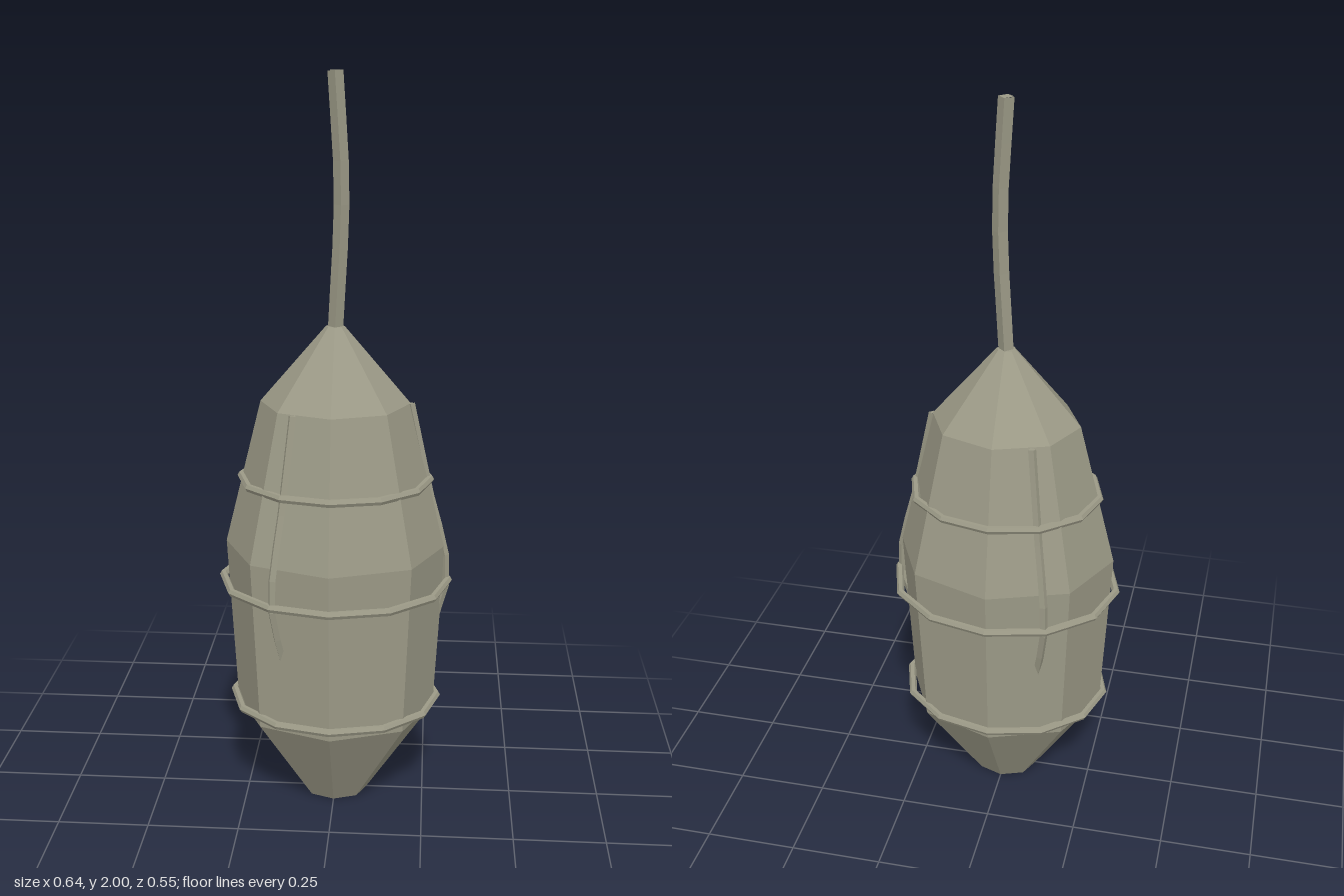
import * as THREE from 'three';

const DEPTH = 0.86; // the pod is slightly flattened front to back

export function createModel() {
  const group = new THREE.Group();
  const silk = new THREE.MeshStandardMaterial({ color: 0x9c9a87, flatShading: true });
  silk.name = 'grey green silk';

  const add = (name, geometry) => {
    const mesh = new THREE.Mesh(geometry, silk);
    mesh.name = name;
    group.add(mesh);
    return mesh;
  };

  // Four-sided tube along a curve in the xy plane, with a cap on its upper end
  const strand = (name, points, radius, segments, angle = 0, depth = 1) => {
    const curve = new THREE.CatmullRomCurve3(points.map(([x, y]) => new THREE.Vector3(x, y, 0)));
    const tube = new THREE.TubeGeometry(curve, segments, radius, 4);
    const cap = new THREE.CircleGeometry(radius, 4).rotateX(-Math.PI / 2);
    const top = points[points.length - 1];
    cap.translate(top[0], top[1], 0);
    for (const g of [tube, cap]) g.rotateY(angle).scale(1, 1, depth);
    add(name, tube);
    add(name + 'Cap', cap);
  };

  // Eight-sided pod body
  const profile = [[0, 0], [0.09, 0], [0.275, 0.27], [0.3, 0.75], [0.2, 1.15], [0.025, 1.355], [0, 1.355]];
  const body = new THREE.LatheGeometry(profile.map(([r, y]) => new THREE.Vector2(r, y)), 8);
  add('podBody', body.scale(1, 1, DEPTH));

  // Bands wrapped around the pod
  [[0.255, 0.94], [0.31, 0.65], [0.285, 0.3]].forEach(([r, y], i) => {
    const band = new THREE.TorusGeometry(r, 0.011, 6, 12).rotateX(Math.PI / 2);
    add('band' + (i + 1), band.scale(1, 1, DEPTH).translate(0, y, 0));
  });

  // Three lengthwise threads that sink into the body at the lower end
  for (let i = 0; i < 3; i++) {
    strand('thread' + (i + 1), [[0.25, 0.47], [0.305, 0.66], [0.25, 0.92], [0.2, 1.15]],
      0.011, 8, i * Math.PI * 2 / 3, DEPTH);
  }

  // Hanging stem with a gentle bend
  strand('stem', [[0, 1.34], [0.016, 1.7], [0, 2]], 0.02, 6);

  return group;
}
